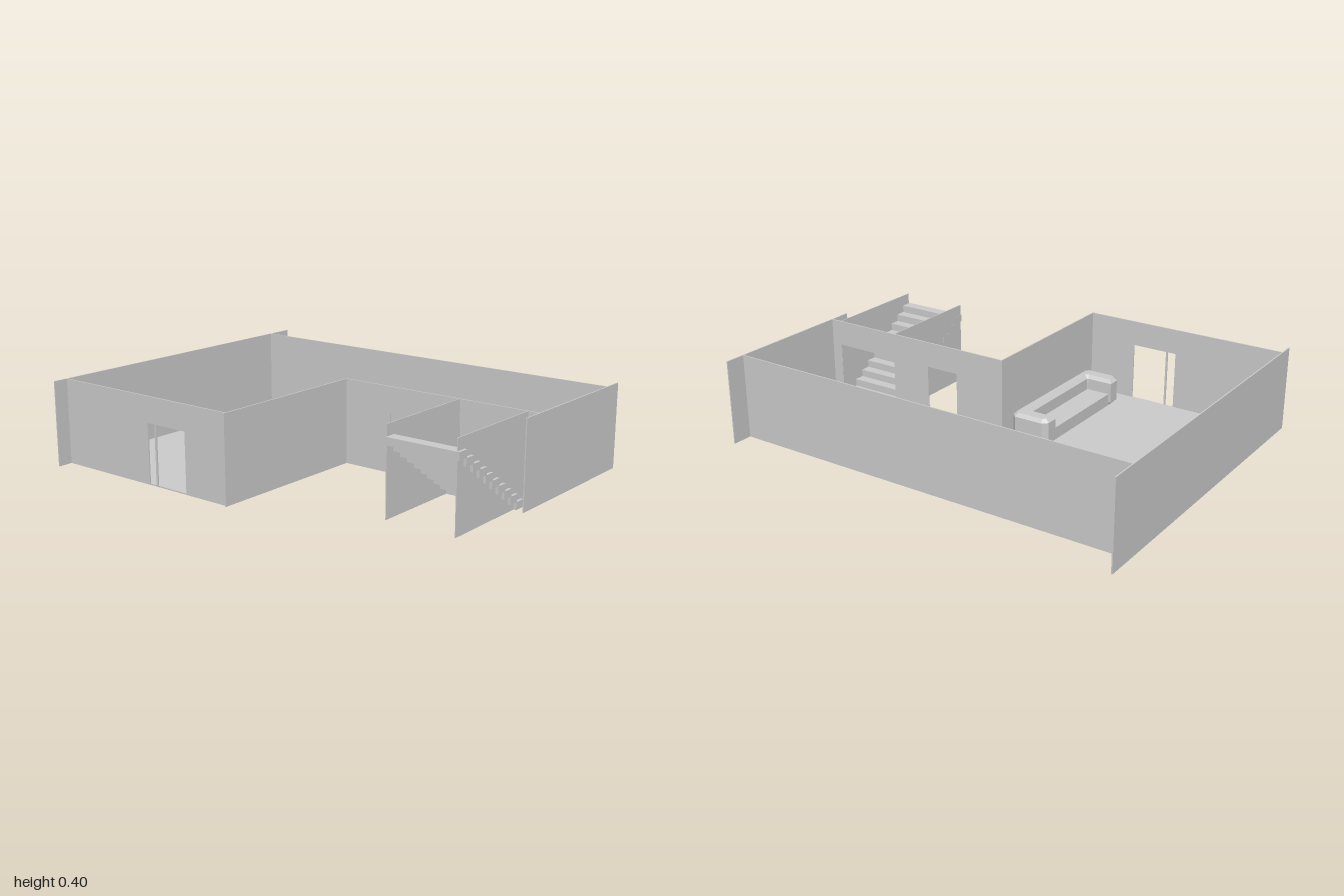
import * as THREE from 'three';

const H = 0.4, T = 0.006;       // wall height and thickness
const DOOR_H = 0.28;

export function createModel() {
  const model = new THREE.Group();
  const material = new THREE.MeshStandardMaterial({ color: 0xcccccc, flatShading: true });

  const add = (name, geometry, parent = model) => {
    const mesh = new THREE.Mesh(geometry, material);
    mesh.name = name;
    parent.add(mesh);
    return mesh;
  };

  // Box given by its limits on each axis
  const block = (name, x0, x1, y0, y1, z0, z1, parent) =>
    add(name, new THREE.BoxGeometry(x1 - x0, y1 - y0, z1 - z0), parent)
      .position.set((x0 + x1) / 2, (y0 + y1) / 2, (z0 + z1) / 2);

  // Wall facing z, with doorways cut up from the ground
  const doorWall = (name, x0, x1, z, doors) => {
    const s = new THREE.Shape();
    s.moveTo(x0, 0);
    for (const [a, b] of doors) {
      s.lineTo(a, 0);
      s.lineTo(a, DOOR_H);
      s.lineTo(b, DOOR_H);
      s.lineTo(b, 0);
    }
    s.lineTo(x1, 0);
    s.lineTo(x1, H);
    s.lineTo(x0, H);
    add(name, new THREE.ExtrudeGeometry(s, { depth: T, bevelEnabled: false })).position.z = z - T / 2;
  };

  // L-shaped floor
  const plan = new THREE.Shape([
    [-1, -0.73], [0, -0.73], [0, 0.07], [1, 0.07], [1, 0.665], [-1, 0.665],
  ].map(([x, y]) => new THREE.Vector2(x, y)));
  const floor = new THREE.ExtrudeGeometry(plan, { depth: T, bevelEnabled: false });
  add('floor', floor.rotateX(-Math.PI / 2));

  // Walls; the outer side walls run past the corners
  block('rightSideWall', -1, -1 + T, 0, H, -0.8, 0.8);
  block('leftSideWall', 1 - T, 1, 0, H, -0.763, 0.037);
  block('backWall', -1, 1, 0, H, -0.668, -0.662);
  block('innerSideWall', -T, 0, 0, H, -0.07, 0.74);
  doorWall('frontWall', -1, 0, 0.728, [[-0.466, -0.424], [-0.415, -0.241]]);
  doorWall('recessedFrontWall', 0, 1, -0.068, [[0.247, 0.412], [0.613, 0.943]]);

  // Staircase rising away from the doorway between two thin walls
  const stairs = new THREE.Group();
  stairs.name = 'staircase';
  model.add(stairs);
  const rise = 0.0348, run = 0.0487, steps = 10;
  for (let i = 0; i < steps; i++) {
    const top = rise * (steps - i), front = 0.463 - run * i;
    block('step', 0.608, 0.958, top - rise, top, front - 0.054, front, stairs);
  }
  block('landing', 0.61, 0.943, 0, 0.008, -0.07, -0.02, stairs);
  for (const x of [0.609, 0.941]) block('stairWall', x, x + 0.004, 0, H, -0.07, 0.456, stairs);

  // Sofa: chamfered U of back and arms around a low seat
  const sofa = new THREE.Group();
  sofa.name = 'sofa';
  model.add(sofa);
  const c = 0.016;               // chamfer
  const x0 = -0.209 + c, x1 = -0.019 - c, xi = -0.078 + c;
  const z0 = -0.021 + c, z1 = 0.647 - c, a0 = 0.062 - c, a1 = 0.564 + c;
  const k = 0.014;               // clipped corners
  const u = new THREE.Shape([
    [x0, z1 - k], [x0 + k, z1], [x1 - k, z1], [x1, z1 - k],
    [x1, z0 + k], [x1 - k, z0], [x0 + k, z0], [x0, z0 + k],
    [x0, a0], [xi - k, a0], [xi, a0 + k], [xi, a1 - k], [xi - k, a1], [x0, a1],
  ].map(([x, z]) => new THREE.Vector2(x, -z)));
  const frame = new THREE.ExtrudeGeometry(u, {
    depth: 0.13 - 2 * c, bevelThickness: c, bevelSize: c, bevelSegments: 1,
  });
  add('sofaBackAndArms', frame.rotateX(-Math.PI / 2), sofa).position.y = T + c;
  block('sofaSeat', -0.196, -0.06, T, 0.065, 0.04, 0.586, sofa);

  return model;
}
